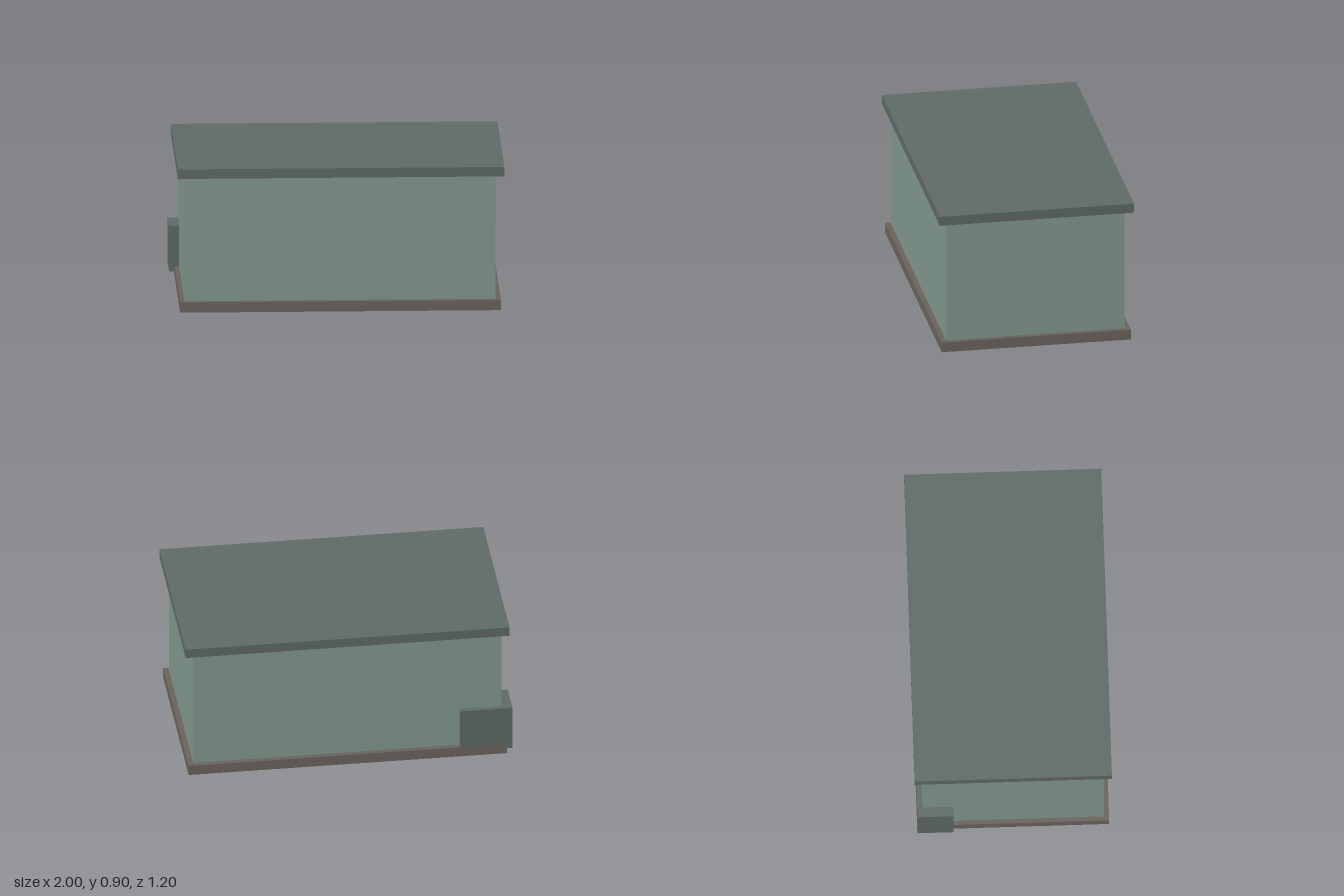
import * as THREE from 'three';

export function createModel() {
  const model = new THREE.Group();

  // Box given by its extents along x, y and z
  const addBox = (name, color, [x0, x1], [y0, y1], [z0, z1]) => {
    const mesh = new THREE.Mesh(
      new THREE.BoxGeometry(x1 - x0, y1 - y0, z1 - z0),
      new THREE.MeshStandardMaterial({ color })
    );
    mesh.name = name;
    mesh.position.set((x0 + x1) / 2, (y0 + y1) / 2, (z0 + z1) / 2);
    model.add(mesh);
  };

  const slate = 0x5f6a67, sage = 0x82998f, brown = 0x6b645d;

  // Plinth; its underside sits a hair above the body's so they do not overlap
  addBox('plinth', brown, [-0.965, 0.98], [0.001, 0.065], [-0.582, 0.582]);
  // Walls run down through the plinth
  addBox('body', sage, [-0.938, 0.948], [0, 0.84], [-0.55, 0.55]);
  // Flat overhanging roof
  addBox('roof', slate, [-0.98, 1], [0.838, 0.897], [-0.598, 0.598]);
  // Small block wrapped around the back right corner
  addBox('cornerBlock', slate, [-1, -0.68], [0.035, 0.317], [-0.581, -0.362]);

  return model;
}
